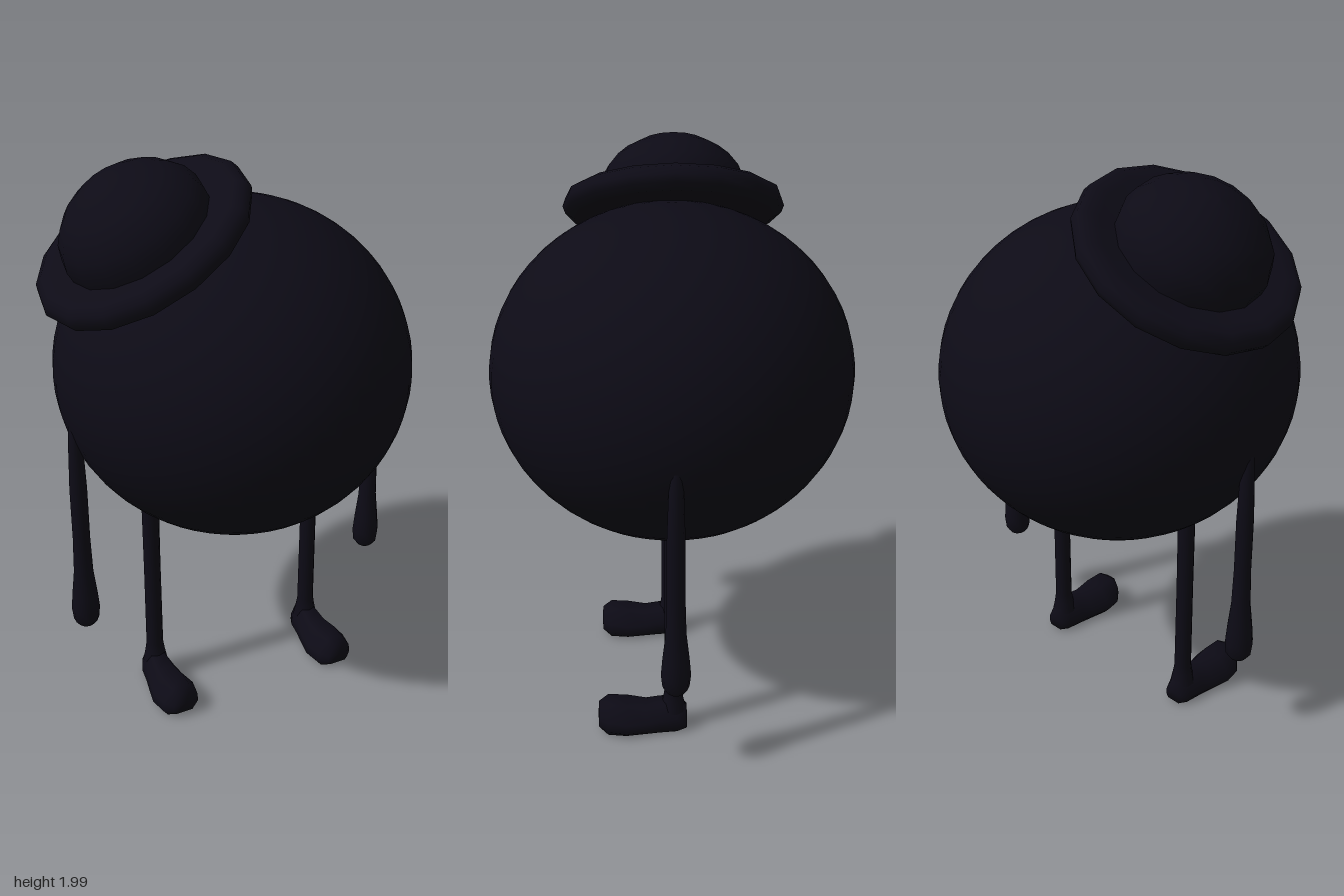
import * as THREE from 'three';

const material = new THREE.MeshStandardMaterial({ color: 0x0d0b16, side: THREE.DoubleSide });

function addMesh(parent, name, geometry, x = 0, y = 0, z = 0) {
  const mesh = new THREE.Mesh(geometry, material);
  mesh.name = name;
  mesh.position.set(x, y, z);
  parent.add(mesh);
  return mesh;
}

// Revolve [radius, height] pairs listed from bottom to top
function lathe(profile, segments) {
  return new THREE.LatheGeometry(profile.map(([r, y]) => new THREE.Vector2(r, y)), segments);
}

// Shoe lofted along z from [z, half width, bottom, top] sections
function shoeGeometry() {
  const sections = [
    [-0.045, 0, 0.05, 0.05], [-0.045, 0.035, 0.012, 0.09], [-0.01, 0.05, 0.005, 0.12],
    [0.05, 0.058, 0.005, 0.115], [0.1, 0.068, 0.005, 0.104], [0.17, 0.082, 0.005, 0.113],
    [0.235, 0.07, 0.005, 0.12], [0.268, 0.042, 0.025, 0.1], [0.27, 0, 0.06, 0.06],
  ];
  const ring = [[0.75, 0], [1, 0.2], [0.95, 0.5], [0.45, 1], [-0.45, 1], [-0.95, 0.5], [-1, 0.2], [-0.75, 0]];
  const n = ring.length, positions = [], index = [];
  for (const [z, w, low, high] of sections)
    for (const [u, v] of ring) positions.push(u * w, low + v * (high - low), z);
  for (let i = 0; i < sections.length - 1; i++)
    for (let j = 0; j < n; j++) {
      const a = i * n + j, b = i * n + (j + 1) % n;
      index.push(a, b, b + n, a, b + n, a + n);
    }
  const geometry = new THREE.BufferGeometry();
  geometry.setAttribute('position', new THREE.Float32BufferAttribute(positions, 3));
  geometry.setIndex(index);
  geometry.computeVertexNormals();
  return geometry;
}

export function createModel() {
  const model = new THREE.Group();
  model.name = 'roundFigure';

  // Slightly flattened round body
  const body = addMesh(model, 'body', new THREE.SphereGeometry(1, 48, 32), 0.004, 1.25, 0);
  body.scale.set(0.61, 0.575, 0.623);

  // Tilted bowler hat
  const hat = new THREE.Group();
  hat.name = 'hat';
  hat.position.set(-0.305, 1.745, -0.012);
  hat.rotation.z = Math.PI / 6;
  model.add(hat);
  addMesh(hat, 'hatBrim', lathe([
    [0, -0.03], [0.25, -0.04], [0.345, -0.043], [0.377, -0.025], [0.387, 0],
    [0.377, 0.03], [0.35, 0.046], [0.31, 0.04], [0.24, 0.03],
  ], 16));
  addMesh(hat, 'hatCrown', lathe([
    [0.255, 0.02], [0.257, 0.07], [0.24, 0.12], [0.205, 0.165], [0.17, 0.195], [0.11, 0.228], [0.05, 0.245], [0, 0.25],
  ], 16));

  // Arms, legs and shoes, mirrored
  const armProfile = [
    [0, 0.33], [0.03, 0.335], [0.045, 0.355], [0.05, 0.4], [0.045, 0.46], [0.034, 0.56],
    [0.03, 0.7], [0.03, 0.9], [0.025, 1.05], [0.018, 1.17], [0, 1.19],
  ];
  const legProfile = [[0.045, 0.08], [0.036, 0.125], [0.031, 0.16], [0.03, 0.5], [0.031, 0.9]];
  for (const [side, label] of [[1, 'left'], [-1, 'right']]) {
    addMesh(model, label + 'Arm', lathe(armProfile, 10), side * 0.58 + 0.004, 0, 0);
    const leg = new THREE.Group();
    leg.name = label + 'LegGroup';
    leg.position.x = side * 0.32 + 0.003;
    model.add(leg);
    addMesh(leg, label + 'Leg', lathe(legProfile, 10), 0, 0, 0.003);
    addMesh(leg, label + 'Shoe', shoeGeometry());
  }
  return model;
}
